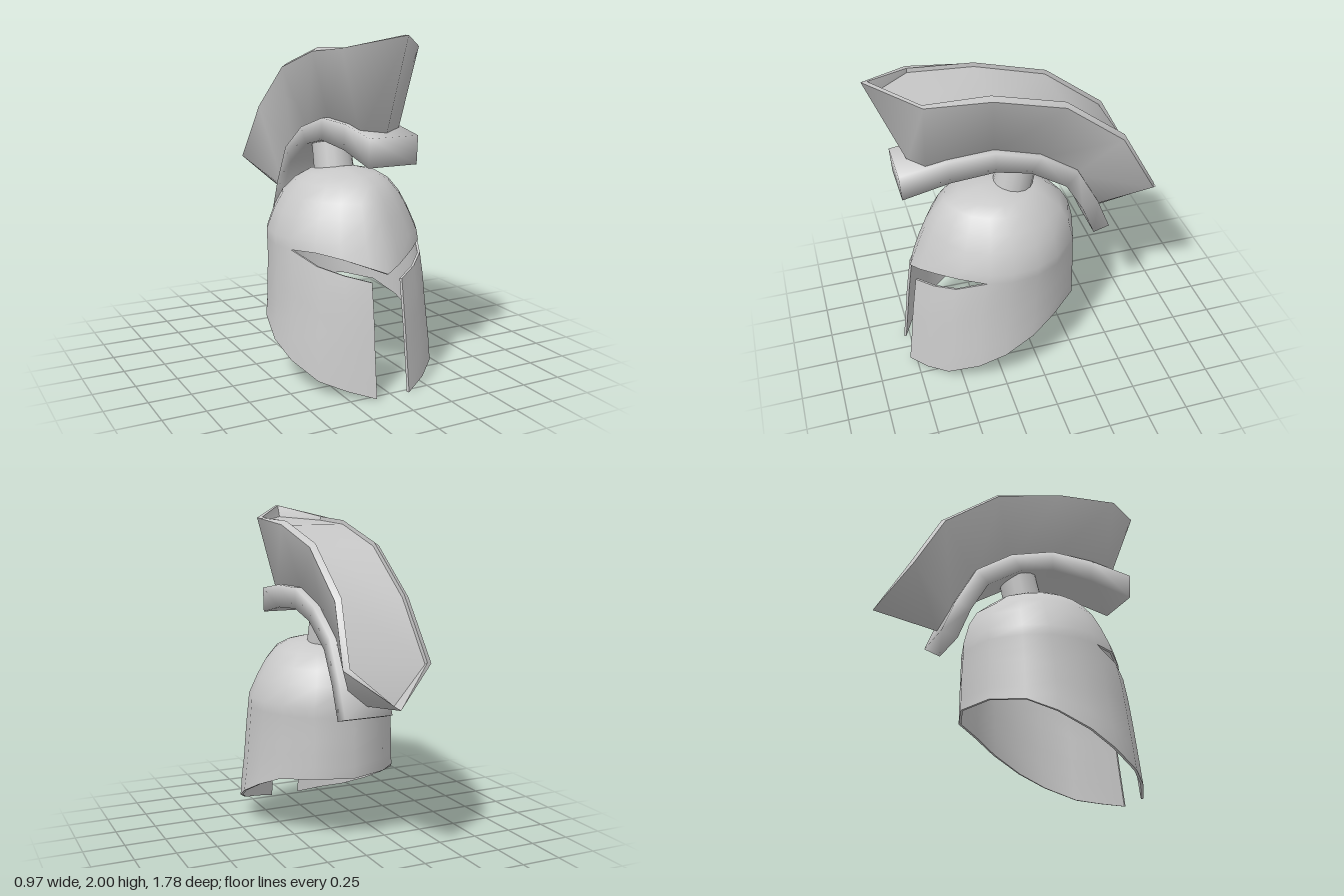
import * as THREE from 'three';
import { mergeVertices, toCreasedNormals } from 'three/addons/utils/BufferGeometryUtils.js';

function build(points, faces) {
  const geo = new THREE.BufferGeometry();
  geo.setAttribute('position', new THREE.Float32BufferAttribute(points.flat(), 3));
  geo.setIndex(faces.flat());
  return geo;
}

// Adds a quad, dropping collapsed triangles
function quad(faces, a, b, c, d) {
  if (a !== b && b !== c && a !== c) faces.push([a, b, c]);
  if (a !== c && c !== d && a !== d) faces.push([a, c, d]);
}

// Skins closed rings of equal length; caps are strips mirrored about point 0
function loft(rings, capStart, capEnd) {
  const n = rings[0].length, faces = [];
  for (let r = 0; r < rings.length - 1; r++) {
    for (let i = 0; i < n; i++) {
      const j = (i + 1) % n;
      quad(faces, r * n + i, r * n + j, (r + 1) * n + j, (r + 1) * n + i);
    }
  }
  const last = (rings.length - 1) * n;
  for (let i = 0; i < n / 2; i++) {
    const q = [i, i + 1, n - 1 - i, (n - i) % n];
    if (capStart) quad(faces, q[3], q[2], q[1], q[0]);
    if (capEnd) quad(faces, ...q.map((k) => k + last));
  }
  const geo = build(rings.flat(), faces);
  geo.computeVertexNormals();
  return geo;
}

// Gives an open surface an inner face and closed rims
function thicken(geo, t) {
  geo.computeVertexNormals();
  const p = geo.attributes.position, nrm = geo.attributes.normal, n = p.count;
  const outer = [], inner = [], faces = [], edges = new Set();
  for (let i = 0; i < n; i++) {
    outer.push([p.getX(i), p.getY(i), p.getZ(i)]);
    inner.push([p.getX(i) - nrm.getX(i) * t, p.getY(i) - nrm.getY(i) * t, p.getZ(i) - nrm.getZ(i) * t]);
  }
  const idx = geo.index.array;
  for (let i = 0; i < idx.length; i += 3) {
    const [a, b, c] = [idx[i], idx[i + 1], idx[i + 2]];
    if (a === b || b === c || a === c) continue;
    faces.push([a, b, c], [c + n, b + n, a + n]);
    for (const [u, v] of [[a, b], [b, c], [c, a]]) edges.add(u + '_' + v);
  }
  for (const e of edges) {
    const [u, v] = e.split('_').map(Number);
    if (!edges.has(v + '_' + u)) quad(faces, v, u, u + n, v + n);
  }
  return toCreasedNormals(build([...outer, ...inner], faces), 0.95);
}

// Helmet levels: y, half width, back z, front z
const LEVELS = [
  [0, 0.495, -0.335, 0.82], [0.24, 0.485, -0.335, 0.79], [0.42, 0.465, -0.335, 0.77], [0.65, 0.453, -0.333, 0.735],
  [0.69, 0.45, -0.33, 0.72], [0.85, 0.447, -0.325, 0.66], [0.97, 0.395, -0.295, 0.61], [1.06, 0.345, -0.245, 0.56],
  [1.14, 0.275, -0.15, 0.49], [1.18, 0.21, -0.07, 0.4], [1.205, 0.1, 0.07, 0.29], [1.215, 0, 0.19, 0.19],
];
// Helmet columns, front to back: x share, z share, hem y, cheek top y, brow y
const COLUMNS = [
  [0, 1, 0, 0.65, 0.69], [0.21, 0.974, 0, 0.65, 0.725], [0.5, 0.905, 0.04, 0.685, 0.77],
  [0.75, 0.81, 0.08, 0.725, 0.797], [0.93, 0.66, 0.16, 0.79, 0.79], [1, 0.52, 0.24, 0.79, 0.79],
  [0.96, 0.357, 0.33, 0.79, 0.79], [0.81, 0.217, 0.4, 0.79, 0.79], [0.5, 0.07, 0.42, 0.79, 0.79],
  [0, 0, 0.42, 0.79, 0.79],
];

function helmetPoint(k, y) {
  const [sx, sz] = COLUMNS[Math.abs(k)];
  let i = 0;
  while (i < LEVELS.length - 2 && y > LEVELS[i + 1][0]) i++;
  const [a, b] = [LEVELS[i], LEVELS[i + 1]];
  const f = (y - a[0]) / (b[0] - a[0]);
  const [, w, back, front] = a.map((v, j) => v + (b[j] - v) * f);
  return [Math.sign(k) * sx * w, y, back + (front - back) * sz];
}

function helmetGeometry() {
  const points = [], faces = [], low = 5;
  const domeYs = LEVELS.slice(5).map((l) => l[0]);
  const rows = low + 1 + 1 + domeYs.length;
  for (let k = -9; k <= 9; k++) {
    const [, , hem, cheek, brow] = COLUMNS[Math.abs(k)];
    const ys = [];
    for (let r = 0; r <= low; r++) ys.push(hem + (cheek - hem) * r / low);
    ys.push(brow, ...domeYs);
    for (const y of ys) points.push(helmetPoint(k, y));
  }
  for (let c = 0; c < 18; c++) {
    const noseGap = c === 8 || c === 9;
    for (let r = 0; r < rows - 1; r++) {
      // Leave the eye slot and the gap between the cheek guards open
      if (r === low || (noseGap && r < low)) continue;
      const a = c * rows + r, b = a + rows;
      quad(faces, a, b, b + 1, a + 1);
    }
  }
  return thicken(mergeVertices(build(points, faces), 1e-4), 0.015);
}

// Crest stations, front to back: rim x, y, z, foot x, y, z, drop of the outer rim, drop of the top sheet
const CREST = [
  [0, 2.0, 0.89, 0, 1.46, 0.68, 0, 0.08], [0.24, 1.93, 0.61, 0.115, 1.45, 0.6, 0.003, 0.025],
  [0.225, 1.915, 0.23, 0.1, 1.48, 0.2, 0.022, 0.025], [0.222, 1.8, -0.2, 0.1, 1.39, -0.08, 0.022, 0.025],
  [0.228, 1.525, -0.56, 0.1, 1.23, -0.3, 0.022, 0.025], [0.27, 1.17, -0.755, 0.1, 0.98, -0.45, 0.018, 0.025],
  [0, 0.95, -0.89, 0, 0.89, -0.49, 0, 0.06],
];

// Mirrors a half row of points into a closed ring
function mirrorRing(half) {
  return [...half, ...half.slice(1, -1).reverse().map(([x, y, z]) => [-x, y, z])];
}

// Crest ring at the rim, moved inwards and down towards the foot
function crestRing(inset, dropColumn) {
  return mirrorRing(CREST.map((s) => {
    const [x, y, z, , fy, fz] = s;
    const drop = (dropColumn ? s[dropColumn] : 0) / Math.hypot(y - fy, z - fz);
    const tip = x === 0 ? Math.sign(z) * inset : 0;
    return [Math.max(0, x - inset), y - (y - fy) * drop, z - (z - fz) * drop - tip];
  }));
}

export function createModel() {
  const group = new THREE.Group();
  const steel = new THREE.MeshStandardMaterial({ color: 0xc8c8c8 });
  steel.name = 'grey steel';
  const add = (name, geo) => {
    const mesh = new THREE.Mesh(geo, steel);
    mesh.name = name;
    group.add(mesh);
    return mesh;
  };

  add('helmetShell', helmetGeometry());

  // Short leaning post between the dome and the crest holder
  const post = add('crestPost', new THREE.CylinderGeometry(0.115, 0.12, 0.24, 16));
  post.position.set(0, 1.28, 0.04);
  post.rotation.x = -0.23;

  // Curved bar holding the crest: top z, y and bottom z, y
  const bar = [
    [0.76, 1.46, 0.75, 1.3], [0.48, 1.505, 0.47, 1.36], [0.2, 1.51, 0.2, 1.38], [-0.08, 1.425, -0.01, 1.33],
    [-0.31, 1.27, -0.23, 1.19], [-0.44, 1.03, -0.34, 1.0], [-0.52, 0.83, -0.42, 0.8],
  ].map(([tz, ty, bz, by]) => [[-0.15, by, bz], [-0.15, ty, tz], [0.15, ty, tz], [0.15, by, bz]]);
  add('crestHolder', loft(bar, true, true));

  // Flaring crest walls, the bevelled rim and the sunken sheet between them
  const foot = mirrorRing(CREST.map((s) => s.slice(3, 6)));
  const outer = crestRing(0, 6), inner = crestRing(0.034, 0), sheet = crestRing(0.037, 7);
  add('crestWalls', loft([foot, outer], true, false));
  add('crestRim', toCreasedNormals(loft([outer, inner, sheet], false, false), 0.6));
  add('crestSheet', loft([sheet], false, true));
  return group;
}
